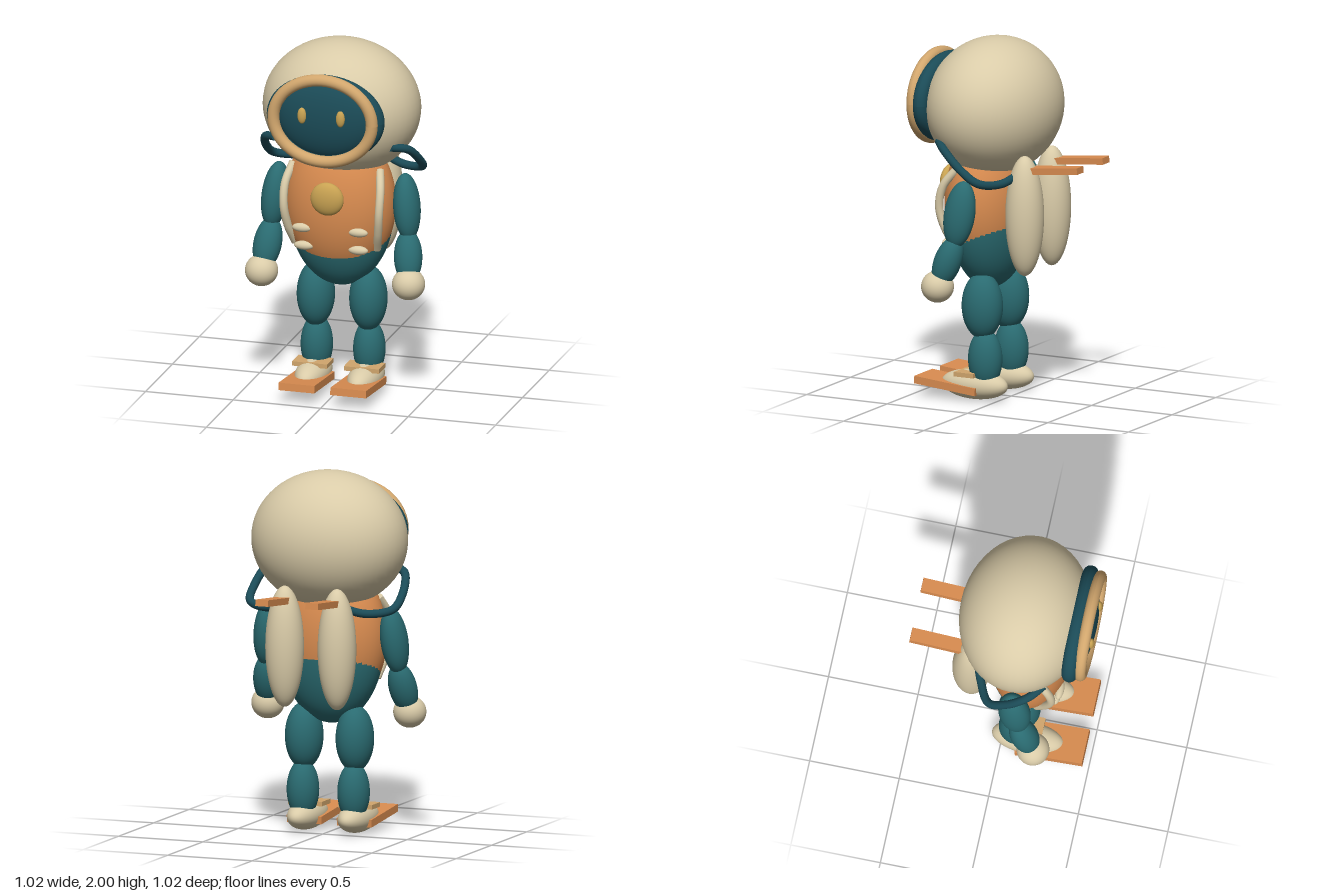
import * as THREE from 'three';

export function createModel() {
  const model = new THREE.Group();
  const material = (name, color) => {
    const m = new THREE.MeshStandardMaterial({ color });
    m.name = name;
    return m;
  };
  const cream = material('cream', 0xd9cba8);
  const orange = material('orange', 0xd98c50);
  const teal = material('teal', 0x2a6b71);
  const darkTeal = material('dark teal', 0x1b4b57);
  const tan = material('tan', 0xd1a66d);
  const gold = material('gold', 0xc8a252);

  const V = (p) => new THREE.Vector3(...p);
  const add = (name, geometry, mat, pos = [0, 0, 0]) => {
    const mesh = new THREE.Mesh(geometry, mat);
    mesh.name = name;
    mesh.position.set(...pos);
    model.add(mesh);
    return mesh;
  };
  const ellipsoid = (name, mat, pos, radii) => {
    const mesh = add(name, new THREE.SphereGeometry(1, 48, 32), mat, pos);
    mesh.scale.set(...radii);
    return mesh;
  };
  // Ellipsoid stretched between two end points
  const limb = (name, mat, a, b, rx, rz) => {
    const axis = V(b).sub(V(a));
    const mid = V(a).add(V(b)).multiplyScalar(0.5);
    const mesh = ellipsoid(name, mat, mid.toArray(), [rx, axis.length() / 2, rz]);
    mesh.quaternion.setFromUnitVectors(new THREE.Vector3(0, -1, 0), axis.normalize());
    return mesh;
  };
  const box = (name, mat, size, pos, tilt = 0) => {
    const mesh = add(name, new THREE.BoxGeometry(...size), mat, pos);
    mesh.rotation.x = tilt;
    return mesh;
  };
  const ring = (name, mat, pos, rx, ry, tube) => {
    // Oval ring with a round section
    const geometry = new THREE.TorusGeometry(1, tube, 20, 64);
    const p = geometry.attributes.position;
    for (let i = 0; i < p.count; i++) {
      const x = p.getX(i), y = p.getY(i), r = Math.hypot(x, y);
      p.setXY(i, (x / r) * (rx + r - 1), (y / r) * (ry + r - 1));
    }
    geometry.computeVertexNormals();
    add(name, geometry, mat, pos);
  };
  const tube = (name, mat, points, radius) => {
    const curve = new THREE.CatmullRomCurve3(points.map(V));
    add(name, new THREE.TubeGeometry(curve, 48, radius, 14), mat);
    // Close both ends
    for (const t of [0, 1]) {
      const cap = add(name + 'End', new THREE.CircleGeometry(radius, 14), mat, curve.getPointAt(t).toArray());
      const out = curve.getTangentAt(t).multiplyScalar(t ? 1 : -1);
      cap.quaternion.setFromUnitVectors(new THREE.Vector3(0, 0, 1), out);
    }
  };

  // Helmet and visor
  ellipsoid('helmet', cream, [0, 1.62, 0.1], [0.44, 0.38, 0.36]);
  ring('visorSeal', darkTeal, [0, 1.64, 0.405], 0.293, 0.205, 0.042);
  ring('visorRim', tan, [0, 1.64, 0.462], 0.281, 0.233, 0.033);
  ellipsoid('visorGlass', darkTeal, [0, 1.64, 0.4], [0.275, 0.228, 0.098]);

  // Suit body and vest
  ellipsoid('body', teal, [0, 1.05, 0.125], [0.3, 0.45, 0.215]);
  ellipsoid('vest', orange, [0, 1.08, 0.133], [0.312, 0.425, 0.227]);
  ellipsoid('chestButton', gold, [0, 1.165, 0.378], [0.094, 0.094, 0.042]);

  for (const s of [1, -1]) {
    const side = s > 0 ? 'left' : 'right';

    ellipsoid(side + 'Eye', gold, [0.11 * s, 1.67, 0.49], [0.025, 0.046, 0.018]);

    // Vest straps and pouches
    tube(side + 'Strap', cream, [[0.248 * s, 1.3, 0.2], [0.272 * s, 1.2, 0.275],
      [0.272 * s, 1.08, 0.3], [0.258 * s, 0.96, 0.27], [0.234 * s, 0.85, 0.21]], 0.023);
    ellipsoid(side + 'UpperPouch', cream, [0.16 * s, 0.97, 0.325], [0.056, 0.025, 0.024]);
    ellipsoid(side + 'LowerPouch', cream, [0.155 * s, 0.862, 0.305], [0.056, 0.025, 0.026]);

    // Air hose from helmet to tank
    tube(side + 'Hose', darkTeal, [[0.33 * s, 1.46, 0.27], [0.405 * s, 1.435, 0.2],
      [0.438 * s, 1.34, 0.08], [0.42 * s, 1.27, -0.02], [0.29 * s, 1.25, -0.09],
      [0.15 * s, 1.29, -0.14]], 0.023);

    // Tank with rear plank
    ellipsoid(side + 'Tank', cream, [0.155 * s, 1.055, -0.168], [0.106, 0.335, 0.106]);
    box(side + 'Plank', orange, [0.076, 0.036, 0.34], [0.148 * s, 1.327, -0.34], 0.1);

    // Arm
    limb(side + 'UpperArm', teal, [0.357 * s, 1.26, 0.095], [0.395 * s, 0.89, 0.14], 0.074, 0.088);
    limb(side + 'Forearm', teal, [0.385 * s, 0.95, 0.13], [0.418 * s, 0.67, 0.225], 0.078, 0.075);
    ellipsoid(side + 'Hand', cream, [0.42 * s, 0.67, 0.23], [0.091, 0.088, 0.09]);

    // Leg, shoe and ski
    ellipsoid(side + 'Thigh', teal, [0.15 * s, 0.525, 0.098], [0.104, 0.185, 0.116]);
    ellipsoid(side + 'Shin', teal, [0.15 * s, 0.23, 0.08], [0.088, 0.165, 0.096]);
    ellipsoid(side + 'Shoe', cream, [0.15 * s, 0.082, 0.145], [0.09, 0.082, 0.2]);
    box(side + 'AnkleStrap', tan, [0.2, 0.025, 0.12], [0.148 * s, 0.147, 0.163]);
    box(side + 'Ski', orange, [0.205, 0.042, 0.378], [0.148 * s, 0.075, 0.28], -0.09);
  }
  return model;
}
